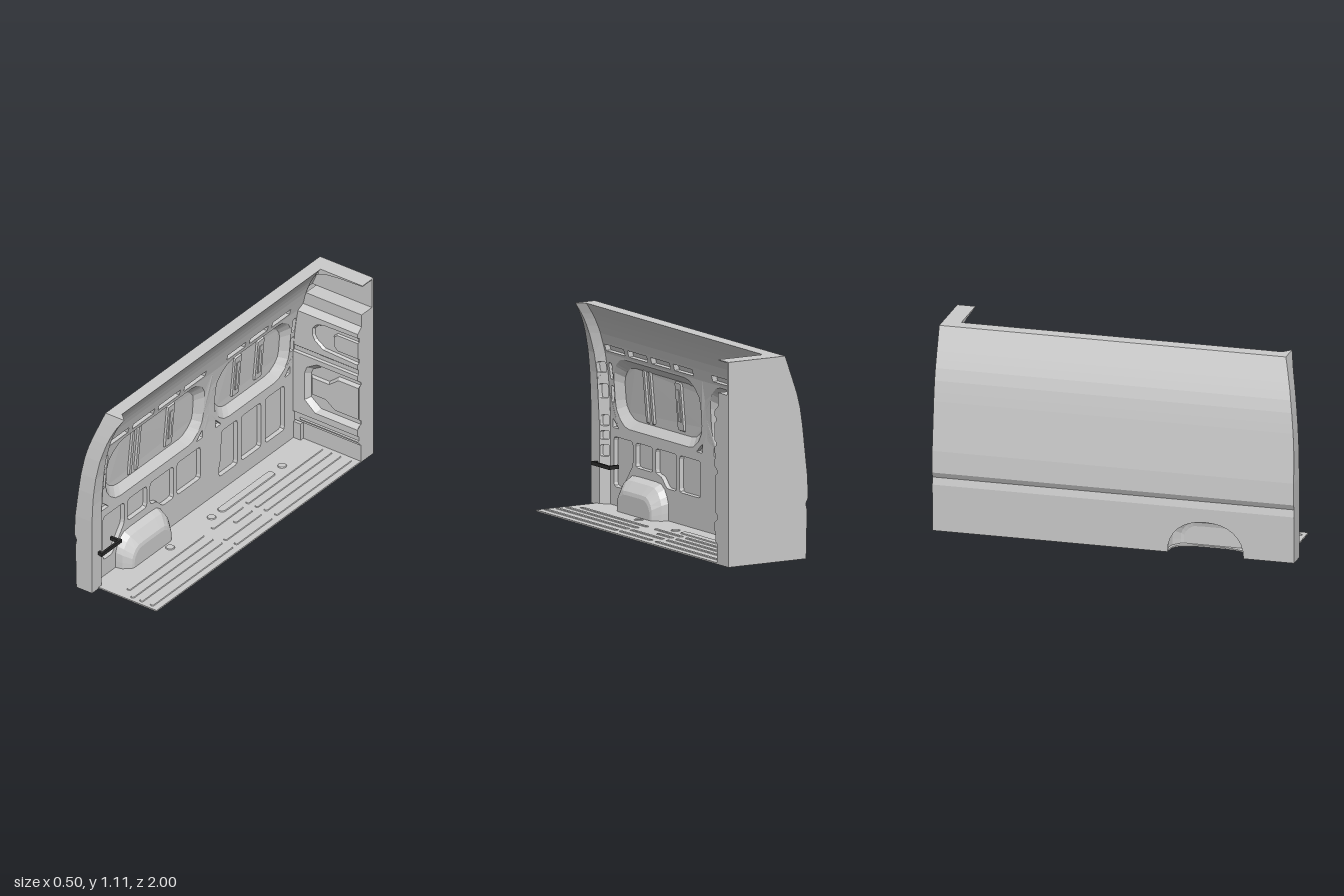
import * as THREE from 'three';

// Height-based profiles: [y, value]
const OUTER = [[0, -.237], [.26, -.243], [.3, -.235], [.33, -.25], [.45, -.245], [.62, -.226], [.72, -.215], [.82, -.2], [.9, -.18], [.98, -.152], [1.05, -.127], [1.11, -.105]];
const JAMB = [[0, -.133], [.5, -.133], [.62, -.127], [.72, -.118], [.83, -.1], [.93, -.073], [1, -.047], [1.05, -.02], [1.11, .018]];
const FRONT = [[0, 1], [.45, 1], [.62, .995], [.72, .988], [.85, .973], [.95, .955], [1.05, .932], [1.11, .917]];
const BULK = [[0, -.885], [.11, -.885], [.118, -.87], [.17, -.87], [.18, -.855], [.56, -.855], [.568, -.866], [.594, -.866], [.602, -.857], [.825, -.857], [.855, -.893], [.93, -.893]];
const YS = [0, .26, .3, .33, .45, .55, .62, .72, .77, .83, .895, .94, .98, 1.02, 1.05, 1.08, 1.11];

function at(table, y) {
  for (let i = 1; i < table.length; i++) {
    const [a, p] = table[i - 1], [b, q] = table[i];
    if (y <= b) return p + (q - p) * (y - a) / (b - a);
  }
  return table[table.length - 1][1];
}

// Surface maps from (u, v, depth) to 3D; the wall sits back from the jamb
const wallX = (z, y) => at(JAMB, y) - .045 * (1 - THREE.MathUtils.clamp((z - .875) / .04, 0, 1));
const onWall = (z, y, d = 0) => [wallX(z, y) - d, y, z];
const onOuter = (z, y) => [at(OUTER, y), y, z];
const onBulk = (x, y, d = 0) => [Math.max(x, wallX(0, y) - .003), y, at(BULK, y) - d];
const onEnd = (z, y) => [.25, y, z];

const rect = (a, b, c, d) => [[a, c], [b, c], [b, d], [a, d]];
const octagon = (a, b, c, d, k) => [[a + k, c], [b - k, c], [b, c + k], [b, d - k], [b - k, d], [a + k, d], [a, d - k], [a, c + k]];
// Rectangle whose upright sides carry points at the given heights
const curvedRect = (a, b, ys) => [...ys.map(y => [a, y]), ...[...ys].reverse().map(y => [b, y])];

// Softens every corner of a polygon
function soften(pts, r) {
  return pts.flatMap((p, i) => {
    const n = pts.length, cut = q => {
      const l = Math.hypot(q[0] - p[0], q[1] - p[1]), t = Math.min(r / l, .45);
      return [p[0] + (q[0] - p[0]) * t, p[1] + (q[1] - p[1]) * t];
    };
    const a = cut(pts[(i + n - 1) % n]), b = cut(pts[(i + 1) % n]);
    return [a, [(a[0] + b[0] + 2 * p[0]) / 4, (a[1] + b[1] + 2 * p[1]) / 4], b];
  });
}

function fill(out, outline, holes, map, d = 0) {
  const vec = l => l.map(p => new THREE.Vector2(...p));
  const all = [outline, ...holes].flat();
  for (const f of THREE.ShapeUtils.triangulateShape(vec(outline), holes.map(vec)))
    for (const i of f) out.push(...map(all[i][0], all[i][1], d));
}

function quads(out, rows) {
  for (let i = 1; i < rows.length; i++) for (let j = 1; j < rows[i].length; j++) {
    const a = rows[i - 1][j - 1], b = rows[i - 1][j], c = rows[i][j], d = rows[i][j - 1];
    out.push(...a, ...b, ...c, ...a, ...c, ...d);
  }
}

// Sunken pocket or raised pad: sloped rim and flat middle
function step(out, { pts, inset = .003, d0 = 0, d1, open = false }, map) {
  const us = pts.map(p => p[0]), vs = pts.map(p => p[1]);
  const u0 = Math.min(...us), u1 = Math.max(...us), v0 = Math.min(...vs), v1 = Math.max(...vs);
  const cu = open ? u1 : (u0 + u1) / 2, cv = (v0 + v1) / 2;
  const su = 1 - (open ? 1 : 2) * inset / (u1 - u0), sv = 1 - 2 * inset / (v1 - v0);
  const inner = pts.map(([u, v]) => [cu + (u - cu) * su, cv + (v - cv) * sv]);
  pts.forEach((p, i) => {
    const k = (i + 1) % pts.length;
    if (open && p[0] === u1 && pts[k][0] === u1) return;
    quads(out, [[map(...p, d0), map(...pts[k], d0)], [map(...inner[i], d1), map(...inner[k], d1)]]);
  });
  fill(out, inner, [], map, d1);
}

export function createModel() {
  const model = new THREE.Group();
  const grey = new THREE.MeshStandardMaterial({ color: 0xcccccc, side: THREE.DoubleSide });

  function add(name, geometry, material = grey) {
    const m = new THREE.Mesh(geometry, material);
    m.name = name;
    model.add(m);
    return m;
  }
  function surface(name, build) {
    const out = [];
    build(out);
    const g = new THREE.BufferGeometry();
    g.setAttribute('position', new THREE.Float32BufferAttribute(out, 3));
    g.computeVertexNormals();
    add(name, g);
  }
  const sheet = (name, rows) => surface(name, o => quads(o, rows));
  const panel = (name, outline, steps, map) => surface(name, o => {
    fill(o, outline, steps.map(s => s.pts), map);
    steps.forEach(s => step(o, s, map));
  });
  const pads = (name, list, map) => surface(name, o => list.forEach(s => step(o, s, map)));
  function box(name, x0, x1, y0, y1, z0, z1, material) {
    add(name, new THREE.BoxGeometry(x1 - x0, y1 - y0, z1 - z0), material)
      .position.set((x0 + x1) / 2, (y0 + y1) / 2, (z0 + z1) / 2);
  }

  // Wheel arch: round cutout outside, chamfered housing inside
  const arch = (hw, h, p) => Array.from({ length: 17 }, (_, i) => {
    const t = Math.PI * (1 - i / 16), c = Math.cos(t), s = Math.max(0, Math.sin(t));
    return [.51 + hw * Math.sign(c) * Math.abs(c) ** p, h * s ** p];
  });
  const housing = (hw, h) => {
    const f = [[-1, 0], [-1, .25], [-.99, .5], [-.93, .68], [-.82, .86], [-.66, .98], [-.4, 1], [-.2, 1], [0, 1]];
    return [...f, ...f.slice(0, -1).reverse().map(([a, b]) => [-a, b])].map(([a, b]) => [.51 + a * hw, b * h]);
  };
  const cutout = arch(.21, .185, .9), root = housing(.22, .2);
  const ring = (pts, x) => pts.map(([z, y]) => [x, y, z]);
  sheet('wheelArch', [cutout.map(p => onOuter(...p)), ring(root, -.178), ring(housing(.21, .18), -.14),
    ring(housing(.175, .13), -.1), ring(housing(.16, .11), -.095), ring(housing(0, 0), -.095)]);

  // Outer skin with wheel cutout
  panel('outerSkinLower', [[-1, 0], ...cutout, [1, 0], [1, .26], [-1, .26]], [], onOuter);
  sheet('outerSkin', YS.slice(1).map(y => [onOuter(-1, y), onOuter(at(FRONT, y), y)]));

  // Rear door pillar: end face and jamb
  sheet('pillarFace', YS.map(y => [onOuter(at(FRONT, y), y), [at(JAMB, y), y, at(FRONT, y)]]));
  sheet('pillarJamb', YS.map(y => [onWall(.915, y), onWall(at(FRONT, y), y)]));
  const jambHoles = [[.72, .78], [.58, .66], [.43, .49], [.355, .405], [.265, .33]]
    .map(([a, b]) => ({ pts: soften(rect(.879, .912, a, b), .01), d1: .015, inset: .002 }));
  panel('jambPanel', curvedRect(.875, .915, YS.filter(y => y <= .895)), jambHoles, onWall);

  // Inner wall, lower band with framed panels
  const lower = [
    [[.84, .38], [.65, .38], [.65, .25], [.76, .11], [.84, .11]], rect(.45, .62, .245, .38),
    [[.42, .38], [.21, .38], [.21, .18], [.31, .18], [.36, .235], [.42, .245]], rect(-.03, .18, .18, .38),
    [[-.22, .38], [-.36, .38], [-.36, .1], [-.195, .1], [-.195, .16], [-.21, .2]],
    rect(-.57, -.395, .1, .38), rect(-.78, -.61, .1, .38),
  ].map(p => ({ pts: soften(p, .02), d1: .025, inset: .002 }));
  panel('innerWallLower', [[-.9, 0], ...root, [.875, 0], [.875, .42], [-.9, .42]], lower, onWall);

  // Inner wall, middle band: two large recesses with gussets and side slots
  const midYs = [.42, .5, .56, .62, .67, .72, .77, .83];
  for (const [a, b, z0, z1, slot, corners] of [
    [-.1, .875, -.05, .82, .84, [[.85, -.06], [-.05, .06]]],
    [-.9, -.1, -.82, -.15, -.84, [[-.165, -.05], [-.83, .05]]],
  ]) {
    panel('innerWallMiddle', curvedRect(a, b, midYs), [
      { pts: soften(octagon(z0, z1, .44, .82, .085), .05), d1: .04, inset: .045 },
      ...corners.map(([z, w]) => ({ pts: soften([[z, .427], [z + w, .427], [z, .478]], .008), d1: .02 })),
      ...[[.69, .78], [.565, .655]].map(([p, q]) => ({ pts: soften(rect(slot - .014, slot + .014, p, q), .008), d1: .02 })),
    ], onWall);
  }

  // Stiffening ribs inside the recesses
  pads('recessRibs', [[.555, .016, .49, .785], [.497, .016, .49, .785], [.215, .035, .5, .77], [-.382, .035, .51, .77], [-.585, .035, .51, .77]]
    .map(([z, w, a, b]) => ({ pts: soften(rect(z - w, z + w, a, b), .01), d0: .042, d1: .03, inset: .006 })), onWall);
  pads('ribInsets', [.215, -.382, -.585]
    .map(z => ({ pts: rect(z - .014, z + .014, .55, .73), d0: .03, d1: .024 })), onWall);

  // Row of slots, then the curved upper wall
  const slots = [[.67, .86], [.44, .63], [.21, .4], [-.02, .17], [-.375, -.215], [-.575, -.415], [-.775, -.615]]
    .map(([a, b]) => ({ pts: rect(a, b, .845, .88), d1: .03, inset: .001 }));
  panel('slotRow', rect(-.9, .875, .83, .895), slots, onWall);
  sheet('innerWallUpper', YS.filter(y => y >= .895).map(y => [-.89, .875, .915].map(z => onWall(z, y))));
  const zs = [-1, .875, .915, .917];
  sheet('wallTop', [zs.map(z => [-.105, 1.11, z]), zs.map(z => onWall(z, 1.11))]);

  // Bulkhead: back sheet, bands and recessed fields
  surface('bulkheadBack', o => fill(o, [...OUTER.map(([y, x]) => [x, y]), [.25, 1.11], [.25, 0]], [], (x, y) => [x, y, -1]));
  const band = (name, ys) => sheet(name, ys.map(y => [onBulk(-.2, y), onBulk(.25, y)]));
  band('bulkheadKick', [0, .11, .118, .17, .18]);
  band('bulkheadCrease', [.56, .568, .594, .602]);
  band('bulkheadHead', [.825, .855, .93]);
  const E = .249;
  panel('bulkheadLower', rect(-.2, .25, .18, .56), [{
    pts: [[E, .22], [-.03, .22], [-.1, .28], [-.1, .45], [-.085, .49], [-.02, .53], [E, .53]], d1: .03, inset: .022, open: true,
  }], onBulk);
  pads('bulkheadLowerPad', [{
    pts: [[E, .265], [.085, .265], [.02, .315], [-.075, .315], [-.075, .435], [.045, .435], [.11, .49], [E, .49]], d0: .03, d1: .012, inset: .014, open: true,
  }], onBulk);
  panel('bulkheadUpper', rect(-.2, .25, .602, .825), [{
    pts: [[E, .63], [.02, .64], [-.035, .68], [-.05, .71], [-.05, .75], [-.025, .78], [.02, .795], [E, .8]], d1: .015, inset: .008, open: true,
  }], onBulk);
  pads('bulkheadUpperPad', [{
    pts: [[E, .66], [.11, .66], [.085, .685], [.085, .75], [.11, .77], [E, .77]], d0: .015, d1: .004, inset: .006, open: true,
  }], onBulk);
  pads('bulkheadBead', [{ pts: rect(-.14, .25, .13, .145), d1: -.008, inset: .004 }], onBulk);
  box('bulkheadShelf', -.12, .25, .925, .93, -.99, -.893);
  box('cornerPost', -.178, -.13, 0, .11, -.915, -.86);
  surface('bulkheadEnd', o => fill(o, [[-1, 0], [-.885, 0], [-.885, .11], [-.87, .118], [-.87, .17], [-.855, .18], [-.855, .22], [-.885, .242],
    [-.885, .265], [-.867, .279], [-.867, .476], [-.885, .49], [-.885, .508], [-.855, .53], [-.855, .56], [-.866, .568], [-.866, .594], [-.857, .602],
    [-.857, .63], [-.872, .638], [-.872, .66], [-.861, .666], [-.861, .764], [-.872, .77], [-.872, .792], [-.857, .8], [-.857, .825],
    [-.893, .855], [-.893, .93], [-.985, .93], [-.985, 1.11], [-1, 1.11]], [], onEnd));

  // Overhead cavity curving from the wall into the roof strip
  const vault = [[-.145, .93], [-.115, 1], [-.075, 1.05], [-.045, 1.07], [0, 1.087], [.1, 1.098], [.25, 1.104]];
  sheet('overheadCavity', vault.map(([x, y]) => [[x, y, -.9], [x, y, -.985]]));
  sheet('cavityRim', vault.slice(0, 4).map(([x, y]) => [onWall(-.895, y), [x, y, -.9]]));
  sheet('cavityBack', vault.map(([x, y]) => [[x, y, -.985], [.25, y, -.985]]));
  sheet('roofStripFace', vault.slice(3).map(([x, y]) => [[x, y, -.9], [x, 1.11, -.9]]));
  box('roofStrip', -.1, .25, 1.105, 1.11, -1, -.9);

  // Floor with wheel notch
  const notch = arch(.21, .127, .6).reverse().map(([z, d]) => [-.237 + d, z]);
  const floorShape = new THREE.Shape([[-.237, -1], [.25, -1], [.25, .94], [-.135, .94], [-.135, 1], [-.237, 1], ...notch]
    .map(([x, z]) => new THREE.Vector2(x, z)));
  const floor = new THREE.ExtrudeGeometry(floorShape, { depth: .008, bevelEnabled: false });
  floor.rotateX(Math.PI / 2).translate(0, .008, 0);
  add('floor', floor);

  // Raised floor runners and outlined covers
  const onFloor = (x, z, d) => [x, .008 - d, z];
  const runners = [[.01, .12, .87], [.07, 0, .92], [.13, .17, .92], [.2, .17, .92]];
  pads('floorRunners', runners.flatMap(([x, mid, end]) => [[-.86, -.19], [-.15, mid], [.2, end]].map(([a, b]) =>
    ({ pts: octagon(x - .012, x + .012, a, b, .006), d1: -.004 }))), onFloor);
  pads('floorCovers', [[.4, .025], [.03, .025], [-.6, .025], [-.28, .24]].map(([z, h]) =>
    ({ pts: soften(octagon(-.085, -.035, z - h, z + h, .015), .008), d1: -.005 })), onFloor);

  // Grab handle
  const dark = new THREE.MeshStandardMaterial({ color: 0x2a2a2a });
  box('grabHandle', -.118, -.105, .215, .235, .77, .95, dark);
  for (const z of [.775, .93]) box('handleMount', -.17, -.11, .215, .235, z, z + .015, dark);
  return model;
}
